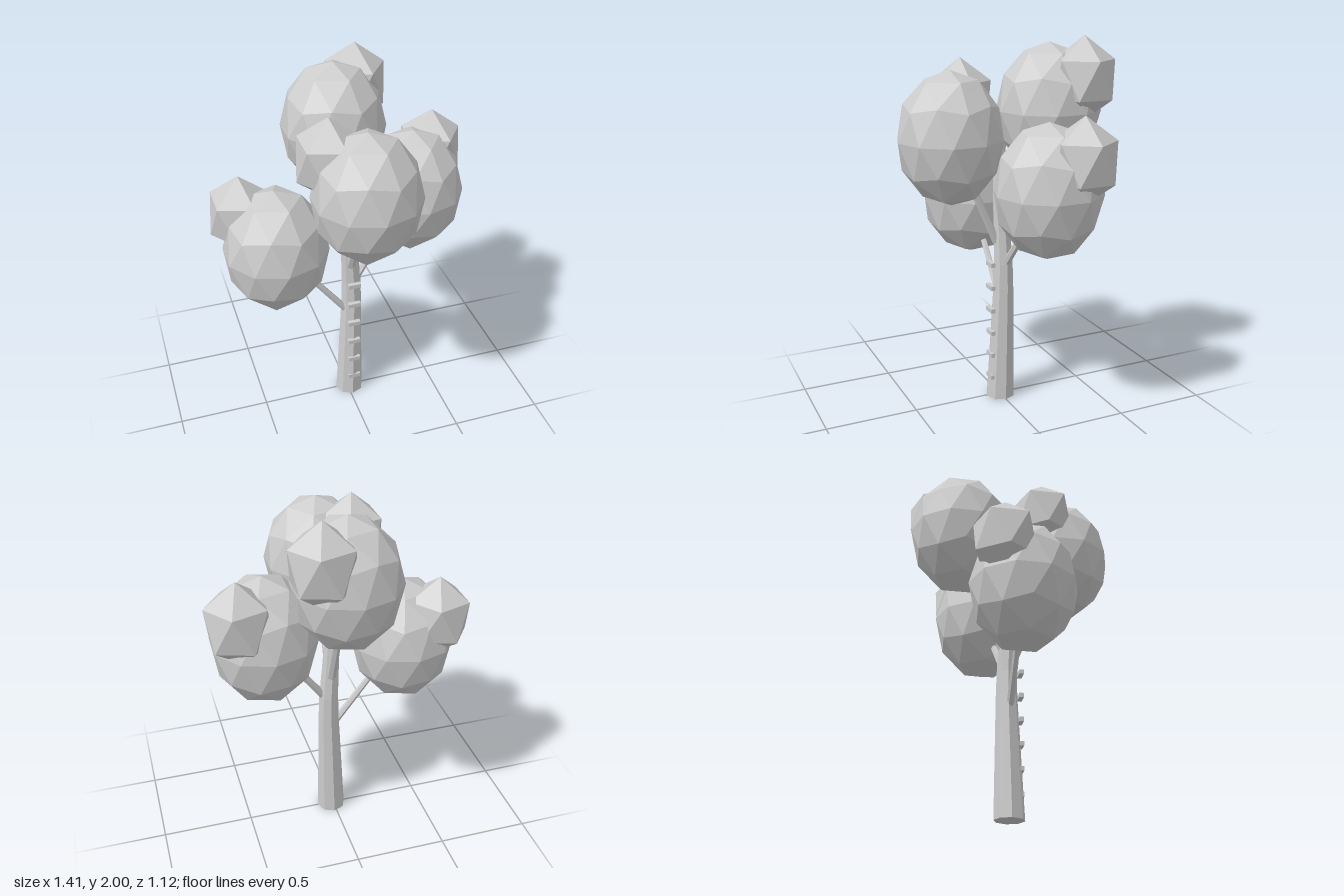
import * as THREE from 'three';

const grey = new THREE.MeshStandardMaterial({ color: 0xcccccc, flatShading: true });
grey.name = 'plain grey';

function add(parent, name, geometry) {
  const mesh = new THREE.Mesh(geometry, grey);
  mesh.name = name;
  parent.add(mesh);
  return mesh;
}

// Icosphere with its poles on the y axis, stretched upright
function leafBall(detail, radius, height, [x, y, z]) {
  const g = new THREE.IcosahedronGeometry(1, detail);
  g.rotateZ(-Math.atan(2 / (1 + Math.sqrt(5))));
  return g.scale(radius, height, radius).translate(x, y, z);
}

// Tapered stick between two points
function stick(a, b, r0, r1, sides) {
  const from = new THREE.Vector3(...a), to = new THREE.Vector3(...b);
  const dir = to.clone().sub(from);
  const g = new THREE.CylinderGeometry(r1, r0, dir.length(), sides);
  g.applyQuaternion(new THREE.Quaternion().setFromUnitVectors(new THREE.Vector3(0, 1, 0), dir.normalize()));
  const mid = from.add(to).multiplyScalar(0.5);
  return g.translate(mid.x, mid.y, mid.z);
}

// Eight-sided trunk following rings of [x, y, z, radius]
function trunkGeometry() {
  const rings = [
    [0.012, 0, 0, 0.08],
    [0.028, 0.65, -0.012, 0.058],
    [0.027, 0.79, -0.012, 0.054],
    [0.005, 1.14, -0.005, 0.042],
    [-0.035, 1.5, 0, 0.025],
  ];
  const n = rings.length - 1;
  const g = new THREE.CylinderGeometry(1, 1, n, 8, n);
  const p = g.attributes.position;
  for (let i = 0; i < p.count; i++) {
    const [x, y, z, r] = rings[Math.round(p.getY(i) + n / 2)];
    p.setXYZ(i, x + p.getX(i) * r, y, z + p.getZ(i) * r);
  }
  return g;
}

export function createModel() {
  const tree = new THREE.Group();
  tree.name = 'tree';
  add(tree, 'trunk', trunkGeometry());

  // Each crown: a large ball, a small ball on it and the branch that carries it
  const crowns = [
    { name: 'right', big: [-0.39, 1.09, 0], small: [-0.543, 1.263, -0.12], root: [0, 0.58, 0], r: 0.02 },
    { name: 'left', big: [0.39, 1.26, -0.09], small: [0.537, 1.433, -0.205], root: [0.04, 0.77, -0.01], r: 0.022 },
    { name: 'front', big: [0.012, 1.49, 0.28], small: [-0.145, 1.663, 0.16], root: [0.015, 0.86, 0], r: 0.024 },
    { name: 'back', big: [0.012, 1.61, -0.28], small: [0.168, 1.778, -0.402], root: [0.02, 0.85, -0.01], r: 0.026 },
  ];
  for (const c of crowns) {
    const crown = new THREE.Group();
    crown.name = c.name + 'Crown';
    add(crown, 'largeFoliage', leafBall(1, 0.28, 0.35, c.big));
    add(crown, 'smallFoliage', leafBall(0, 0.182, 0.222, c.small));
    add(crown, 'branch', stick(c.root, c.big, c.r, c.r * 0.7, 6));
    tree.add(crown);
  }

  // Climbing rungs up the front of the trunk
  for (let i = 0; i < 6; i++) {
    add(tree, 'rung', new THREE.BoxGeometry(0.07, 0.024, 0.024)).position.set(0.022, 0.13 + i * 0.132, 0.061);
  }
  return tree;
}
